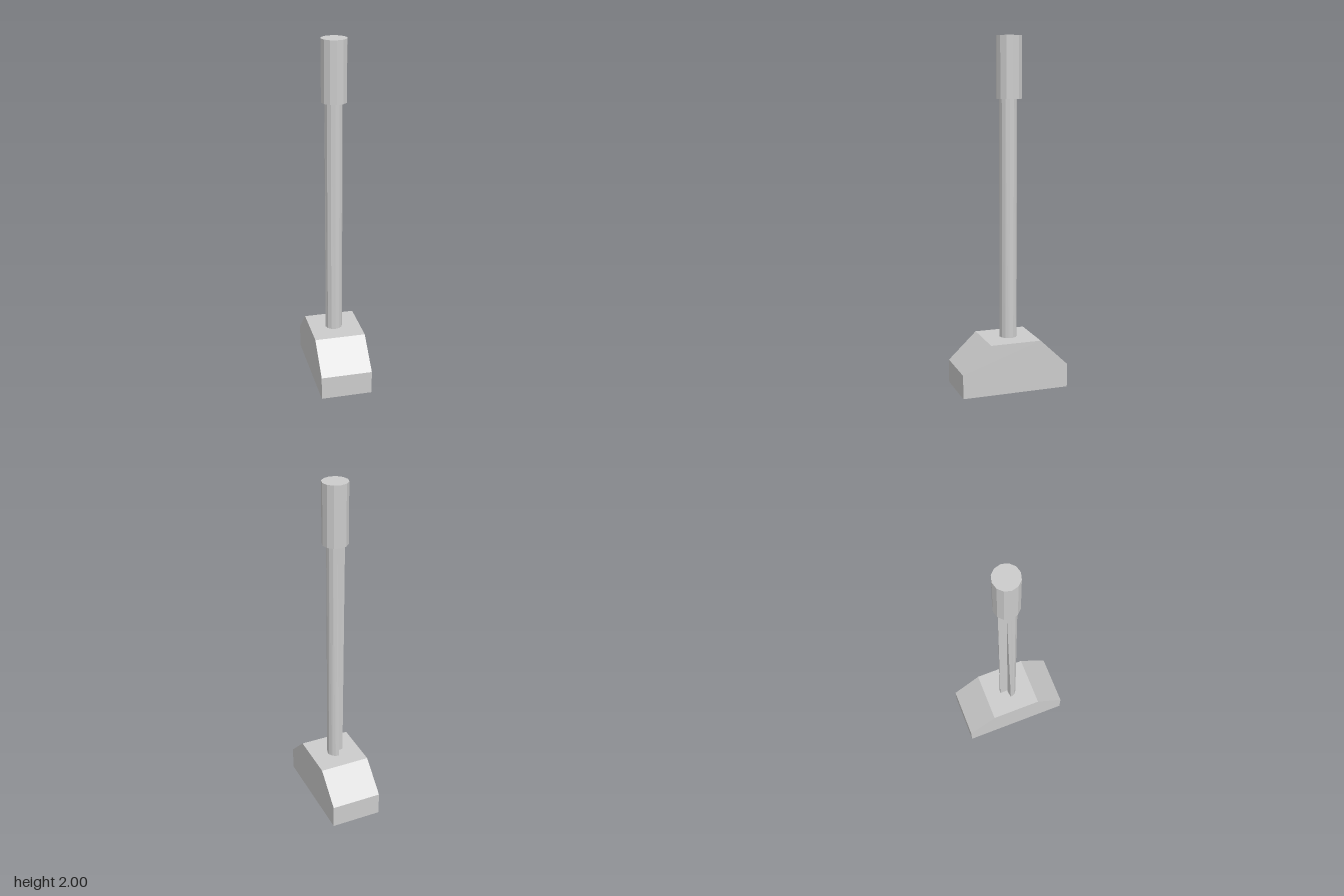
import * as THREE from 'three';

const material = new THREE.MeshStandardMaterial({ color: 0xcccccc, flatShading: true });

function addPart(group, name, geometry) {
  const mesh = new THREE.Mesh(geometry, material);
  mesh.name = name;
  group.add(mesh);
  return mesh;
}

// Round rod with a wedge-shaped groove; the lip angles (degrees) drift from bottom to top
function groovedRod(radius, y0, y1, bottomLips, topLips, facets = 10) {
  const section = (y, [start, end]) => {
    const points = [new THREE.Vector3(0, y, 0)];
    for (let i = 0; i <= facets; i++) {
      const a = THREE.MathUtils.degToRad(end + (360 - end + start) * i / facets);
      points.push(new THREE.Vector3(radius * Math.sin(a), y, radius * Math.cos(a)));
    }
    return points;
  };
  const bottom = section(y0, bottomLips);
  const top = section(y1, topLips);
  const n = bottom.length;
  const corners = [];
  for (let i = 0; i < n; i++) {
    const j = (i + 1) % n;
    corners.push(bottom[i], bottom[j], top[j], bottom[i], top[j], top[i]);
    // End caps fan out from the centre
    if (i > 0 && j > 0) corners.push(top[0], top[i], top[j], bottom[0], bottom[j], bottom[i]);
  }
  const geometry = new THREE.BufferGeometry().setFromPoints(corners);
  geometry.computeVertexNormals();
  return geometry;
}

export function createModel() {
  const model = new THREE.Group();
  model.name = 'hammer';

  // Head: block with both upper ends chamfered, extruded across x
  const profile = new THREE.Shape([
    [-0.31, 0.015], [0.31, 0.015], [0.31, 0.15],
    [0.147, 0.305], [-0.147, 0.305], [-0.31, 0.15],
  ].map(([z, y]) => new THREE.Vector2(z, y)));
  const head = new THREE.ExtrudeGeometry(profile, { depth: 0.293, bevelEnabled: false });
  head.translate(0, 0, -0.1465);
  head.rotateY(-Math.PI / 2);
  addPart(model, 'head', head);

  // Shaft passes through the head and shows slightly below it
  const shaft = addPart(model, 'shaft', groovedRod(0.05, 0, 1.68, [185, 280], [170, 245]));
  shaft.position.set(-0.004, 0, -0.004);

  // Grip
  const grip = addPart(model, 'grip', new THREE.CylinderGeometry(0.072, 0.072, 0.342, 12));
  grip.position.set(0, 1.829, -0.008);

  return model;
}
